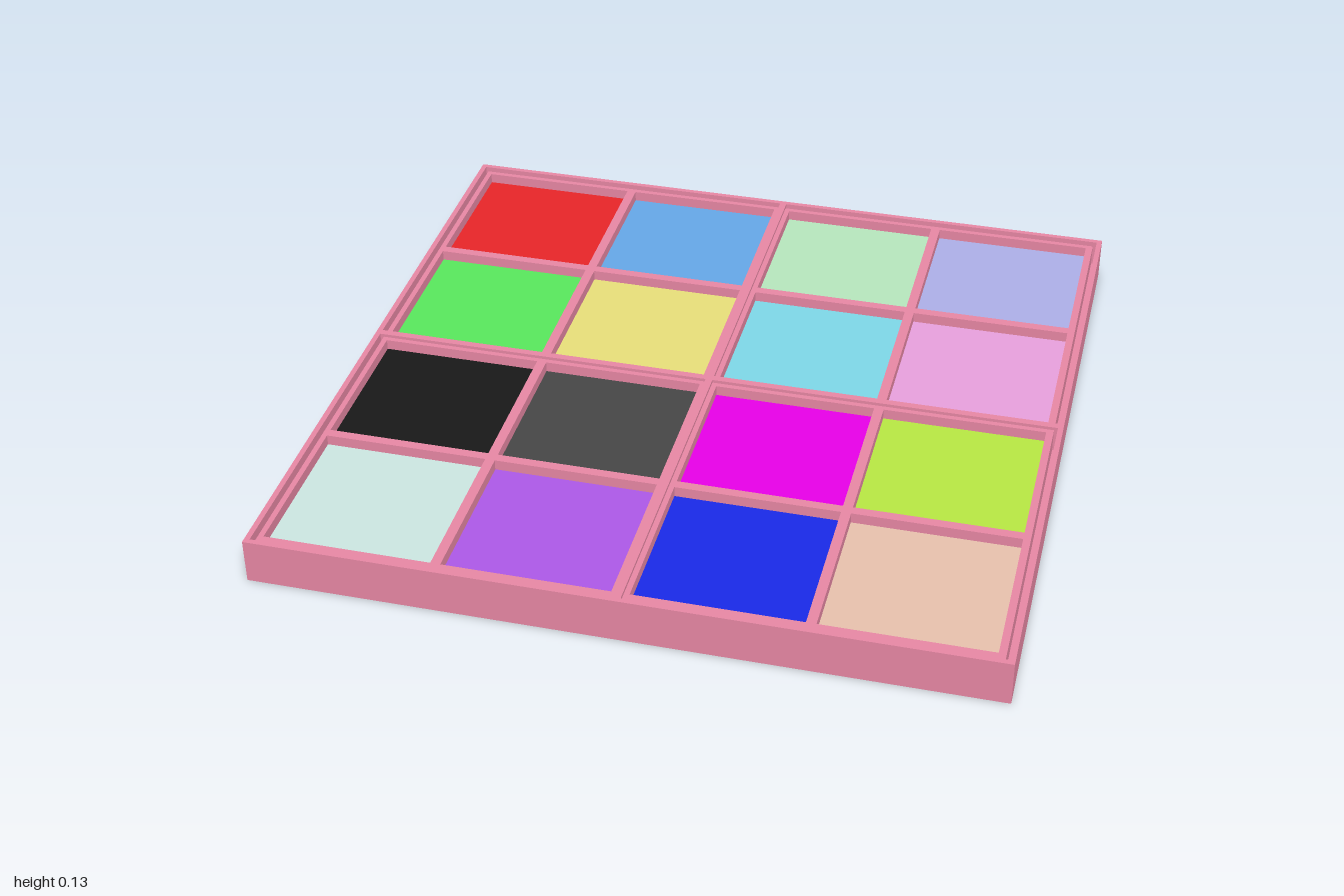
import * as THREE from 'three';

const PINK = 0xe787a4;
const HEIGHT = 0.127;
const INSET_TOP = 0.118;
const TILE_TOP = 0.088;
const FLOOR = 0.05;

// Near and far edges of the four cells along either axis
const CELLS = [[-0.96, -0.505], [-0.478, -0.025], [0.023, 0.475], [0.502, 0.955]];
// Outer edges of the two inset trays, and of the rim openings that hold them
const TRAYS = [[-0.975, -0.012], [0.008, 0.975]];
const WELLS = [[-0.985, -0.012], [0.008, 0.985]];

// Back row first, left to right
const COLORS = [
  [0xe72528, 0x65a7e7, 0xb6e6bd, 0xadafe7],
  [0x58e75c, 0xe7df79, 0x7ed7e7, 0xe7a0dc],
  [0x181818, 0x464646, 0xe700e7, 0xb7e743],
  [0xcbe6e1, 0xac58e7, 0x1929e7, 0xe7c1ad],
];

const mat = (color) => new THREE.MeshStandardMaterial({ color, flatShading: true });

// Counter-clockwise rectangle in plan
function rect(target, [x0, x1], [z0, z1]) {
  target.moveTo(x0, -z0).lineTo(x0, -z1).lineTo(x1, -z1).lineTo(x1, -z0).closePath();
  return target;
}

// Upright slab in plan, pierced by rectangular openings
function frame(name, xs, zs, openings, y0, y1, material) {
  const shape = rect(new THREE.Shape(), xs, zs);
  for (const [ox, oz] of openings) shape.holes.push(rect(new THREE.Path(), ox, oz));
  const geo = new THREE.ExtrudeGeometry(shape, { depth: y1 - y0, bevelEnabled: false });
  geo.rotateX(-Math.PI / 2).translate(0, y0, 0);
  const mesh = new THREE.Mesh(geo, material);
  mesh.name = name;
  return mesh;
}

export function createModel() {
  const model = new THREE.Group();
  model.name = 'tileTray';
  const pink = mat(PINK);

  // Closed base and the tall rim with its central cross
  const base = new THREE.Mesh(new THREE.BoxGeometry(2, FLOOR, 2), pink);
  base.position.y = FLOOR / 2;
  base.name = 'base';
  model.add(base);
  const quadrants = WELLS.flatMap((x) => WELLS.map((z) => [x, z]));
  model.add(frame('rim', [-1, 1], [-1, 1], quadrants, FLOOR, HEIGHT, pink));

  // Four inset trays, each with a two by two set of openings
  TRAYS.forEach((xs, i) => TRAYS.forEach((zs, j) => {
    const columns = CELLS.slice(2 * i, 2 * i + 2);
    const rows = CELLS.slice(2 * j, 2 * j + 2);
    const openings = columns.flatMap((x) => rows.map((z) => [x, z]));
    model.add(frame('insetTray', xs, zs, openings, FLOOR, INSET_TOP, pink));
  }));

  // Coloured tiles sunk into the openings
  const tiles = new THREE.Group();
  tiles.name = 'tiles';
  CELLS.forEach((z, row) => CELLS.forEach((x, col) => {
    const geo = new THREE.BoxGeometry(x[1] - x[0], TILE_TOP - FLOOR, z[1] - z[0]);
    const tile = new THREE.Mesh(geo, mat(COLORS[row][col]));
    tile.position.set((x[0] + x[1]) / 2, (TILE_TOP + FLOOR) / 2, (z[0] + z[1]) / 2);
    tile.name = 'tile';
    tiles.add(tile);
  }));
  model.add(tiles);

  return model;
}
